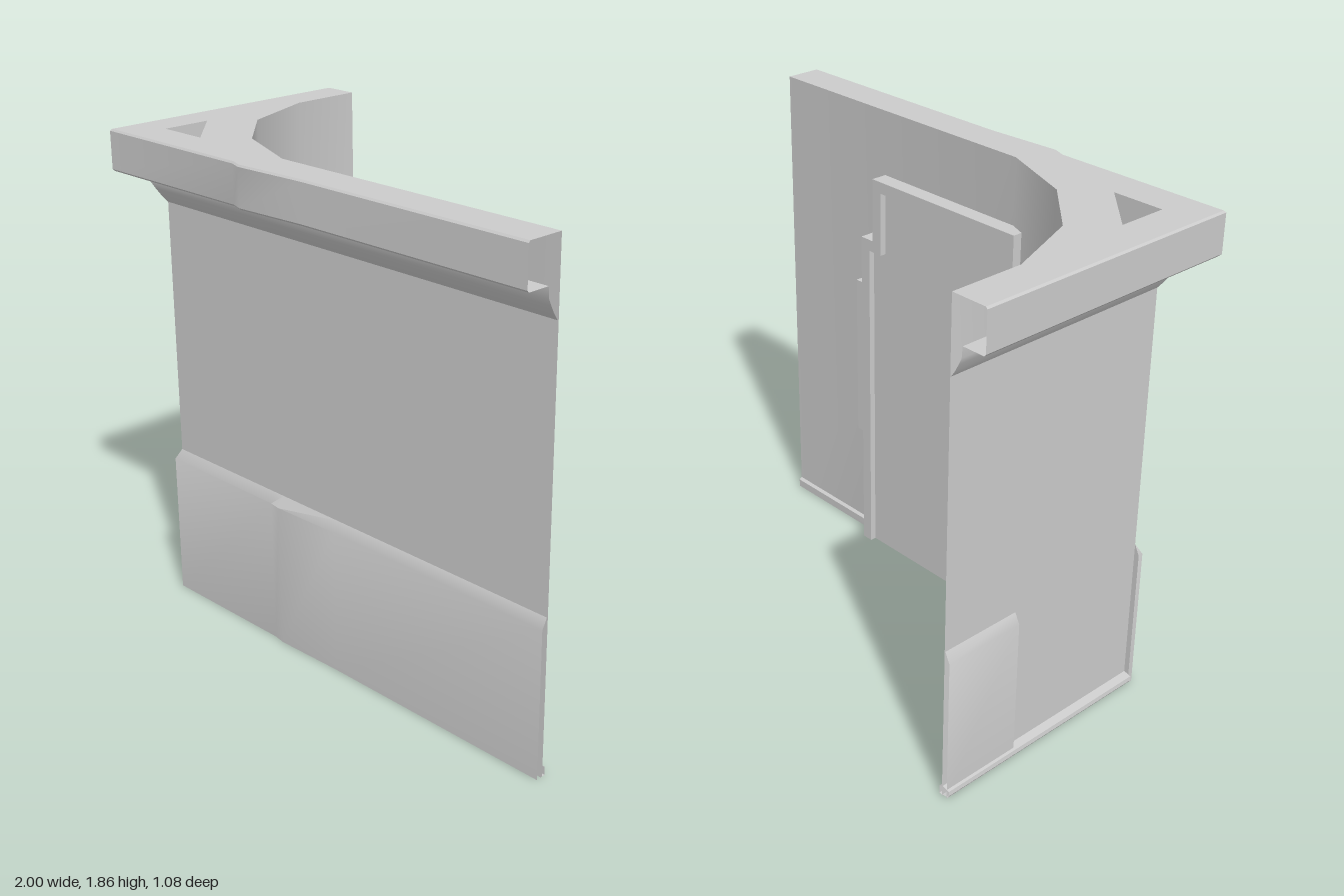
import * as THREE from 'three';
import { toCreasedNormals } from 'three/addons/utils/BufferGeometryUtils.js';

const material = new THREE.MeshStandardMaterial({ color: 0xcccccc, side: THREE.DoubleSide });

export function createModel() {
  const group = new THREE.Group();
  const add = (name, geometry) => {
    const mesh = new THREE.Mesh(geometry, material);
    mesh.name = name;
    group.add(mesh);
    return mesh;
  };

  // Sweep a profile of [offset, y] along a path of [x, z, dirX, dirZ, offsetScale].
  // flip turns the faces to the other side of the path.
  const sweep = (name, path, profile, flip = false) => {
    const positions = [], index = [], n = profile.length;
    for (const [x, z, nx, nz, s = 1] of path) {
      for (const [d, y] of profile) positions.push(x + nx * d * s, y, z + nz * d * s);
    }
    for (let i = 0; i < path.length - 1; i++) {
      for (let j = 0; j < n - 1; j++) {
        const a = i * n + j, b = a + n;
        if (flip) index.push(a, b, a + 1, b, b + 1, a + 1);
        else index.push(a, a + 1, b, b, a + 1, b + 1);
      }
    }
    const g = new THREE.BufferGeometry();
    g.setAttribute('position', new THREE.Float32BufferAttribute(positions, 3));
    g.setIndex(index);
    return add(name, toCreasedNormals(g, 0.55));
  };

  const X = -0.863, Z = 0.385, BACK = -0.54, TOP = 1.86;
  const corner = [X, Z, -1, 1];
  const leftEnd = [X, BACK, -1, 0];
  // Front run with a slight swelling near the corner
  const front = (swell) => [
    [1, Z, 0, 1], [0.03, Z, 0, 1], [-0.26, Z, 0, 1, swell], [-0.31, Z, 0, 1], corner,
  ];

  // Outer walls
  sweep('outerWalls', [[1, Z, 0, 1], corner, leftEnd], [[0, 0], [0, 1.6]]);

  // Cornice with a cove below, open at both ends
  sweep('cornice', [...front(1.12), leftEnd], [
    [0, 1.59], [0.015, 1.612], [0.03, 1.64], [0.042, 1.665], [0.045, 1.705],
    [0.132, 1.705], [0.138, 1.712], [0.138, 1.853], [0.132, 1.86],
  ]);

  // Raised skirts at the foot of the outer walls
  const skirt = [[0.02, 0], [0.02, 0.56], [0, 0.6]];
  sweep('frontSkirt', [...front(1.4), [X, Z, -1, 0], [X, Z, 0, 0]], skirt);
  sweep('sideSkirt', [[X, -0.22, 0, 0], [X, -0.22, -1, 0], leftEnd], skirt);
  sweep('sideBead', [[X, Z, -1, 0], leftEnd],
    [[0, 0.005], [0.025, 0.008], [0.033, 0.02], [0.03, 0.035], [0, 0.042]]);

  // Inner wall with a rounded corner, and its low plinth
  const inner = [
    [-0.86, BACK, 1, 0], [-0.86, -0.26, 0.98, -0.18], [-0.74, 0.05, 0.84, -0.55],
    [-0.52, 0.26, 0.55, -0.84], [-0.22, 0.38, 0.19, -0.98], [1, 0.38, 0, -1],
  ];
  sweep('innerWall', inner, [[0, 0], [0, TOP]]);
  sweep('innerPlinth', inner, [[0, 0.003], [0.012, 0.003], [0.012, 0.035], [0, 0.043]]);

  // Flat top, with a triangular opening behind the corner
  const v = (pts) => pts.map(([x, y]) => new THREE.Vector2(x, y));
  const capShape = new THREE.Shape(v([
    ...inner.map(([x, z]) => [x, -z]),
    [1, -0.517], [0.03, -0.517], [-0.26, -0.535], [-0.31, -0.517], [-0.995, -0.517], [-0.995, -BACK],
  ]));
  const hole = [[-0.86, 0.19], [-0.86, 0.38], [-0.66, 0.38]];
  capShape.holes.push(new THREE.Path(v(hole.map(([x, z]) => [x, -z]))));
  const cap = add('topCap', new THREE.ShapeGeometry(capShape));
  cap.rotation.x = -Math.PI / 2;
  cap.position.y = TOP;
  sweep('openingLining', [...hole, hole[0]].map(([x, z]) => [x, z, 0, 0]), [[0, 1.705], [0, TOP]], true);

  // Stepped door surround and its recessed panel
  const CENTRE = 0.08;
  const outer = [
    [0.43, 0], [0.43, 0.51], [0.46, 0.51], [0.46, 1.17],
    [0.43, 1.17], [0.43, 1.36], [0.365, 1.36], [0.365, 1.61],
  ];
  const inside = [[0.385, 0], [0.385, 1.315], [0.32, 1.315], [0.32, 1.565]];
  const mirror = (pts) => [...pts, ...pts.map(([x, y]) => [-x, y]).reverse()];
  const frameShape = new THREE.Shape(v([...mirror(outer), ...mirror(inside).reverse()]));
  const frame = add('doorFrame', new THREE.ExtrudeGeometry(frameShape, { depth: 0.064, bevelEnabled: false }));
  frame.position.set(CENTRE, 0, 0.316);

  const panel = add('doorPanel', new THREE.ShapeGeometry(new THREE.Shape(v(mirror(inside)))));
  panel.rotation.y = Math.PI;
  panel.position.set(CENTRE, 0, 0.34);

  return group;
}
